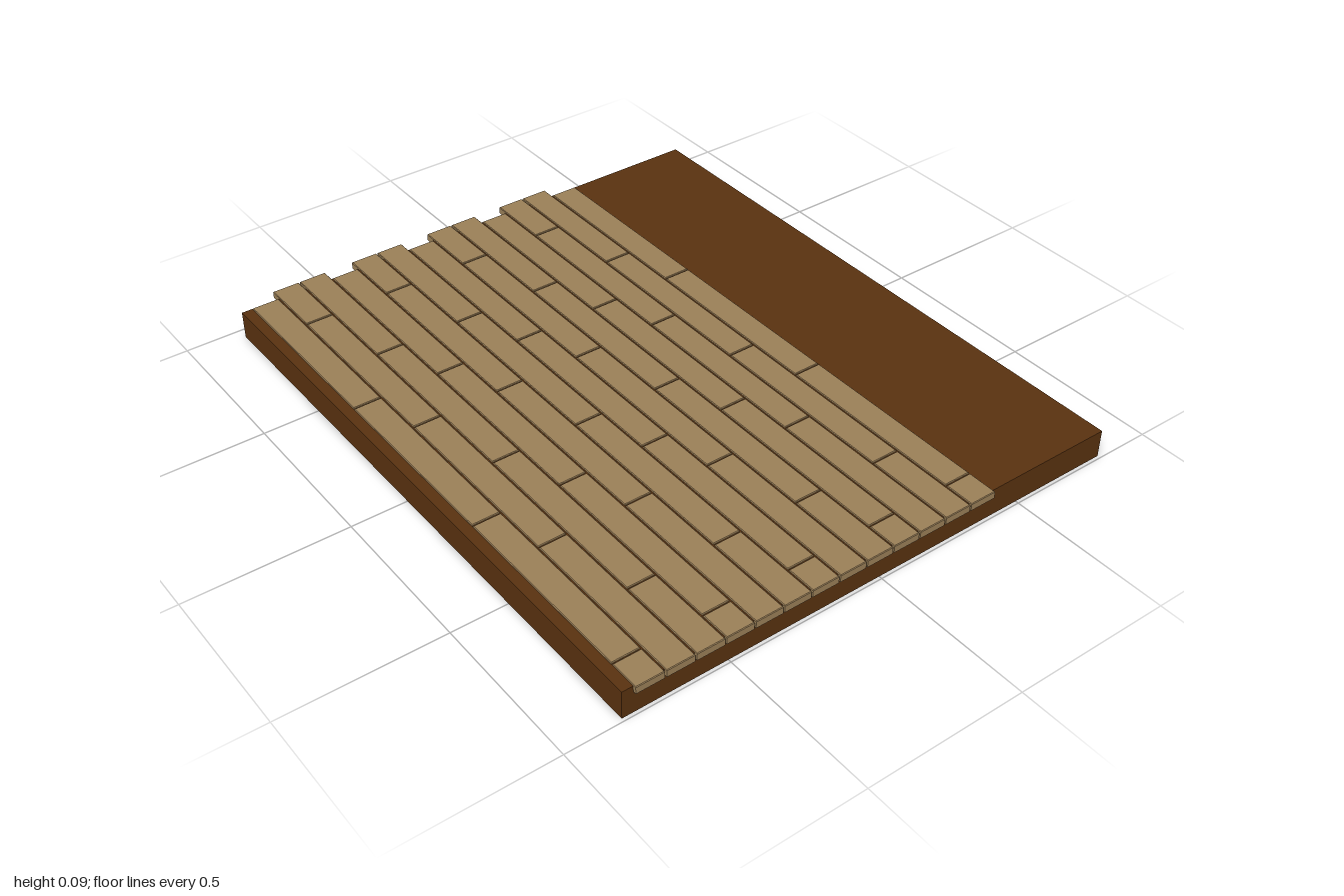
import * as THREE from 'three';

const baseMaterial = new THREE.MeshStandardMaterial({ color: 0x5a3210 });
const plankMaterial = new THREE.MeshStandardMaterial({ color: 0x9b8058 });

const ROWS = 13, PITCH = 0.0918, FIRST_Z = -0.398;
const PLANK_WIDTH = 0.087, GAP = 0.004, BOTTOM = 0.068, TOP = 0.093, BEVEL = 0.002;

// Plank with a small chamfer on every edge, spanning x0..x1 from z0 towards +z
function plank(x0, x1, z0) {
  const w = (x1 - x0) / 2 - BEVEL, d = PLANK_WIDTH / 2 - BEVEL;
  const outline = new THREE.Shape([
    new THREE.Vector2(-w, -d), new THREE.Vector2(w, -d),
    new THREE.Vector2(w, d), new THREE.Vector2(-w, d),
  ]);
  const geometry = new THREE.ExtrudeGeometry(outline, {
    depth: TOP - BOTTOM - 2 * BEVEL,
    bevelEnabled: true, bevelSegments: 1, bevelSize: BEVEL, bevelThickness: BEVEL,
  });
  geometry.rotateX(-Math.PI / 2);
  const mesh = new THREE.Mesh(geometry, plankMaterial);
  mesh.position.set((x0 + x1) / 2, BOTTOM + BEVEL, z0 + PLANK_WIDTH / 2);
  mesh.name = 'plank';
  return mesh;
}

export function createModel() {
  const model = new THREE.Group();
  model.name = 'plankFloor';

  // Solid slab under the boards
  const base = new THREE.Mesh(new THREE.BoxGeometry(1.95, 0.089, 1.65), baseMaterial);
  base.position.set(0.015, 0.0445, 0);
  base.name = 'baseSlab';
  model.add(base);

  // Staggered rows: three end-joint patterns repeat from back to front
  const patterns = [
    [-0.957, -0.338, 0.283, 0.903, 1.0],
    [-1.0, -0.525, 0.096, 0.716, 1.0],
    [-1.0, -0.785, -0.165, 0.455, 1.0],
  ];
  for (let r = 0; r < ROWS; r++) {
    const row = new THREE.Group();
    row.name = `plankRow${r + 1}`;
    const joints = patterns[r % 3];
    for (let i = 0; i < joints.length - 1; i++) {
      const start = joints[i] + (i > 0 ? GAP / 2 : 0);
      const end = joints[i + 1] - (i < joints.length - 2 ? GAP / 2 : 0);
      row.add(plank(start, end, FIRST_Z + r * PITCH));
    }
    model.add(row);
  }
  return model;
}
